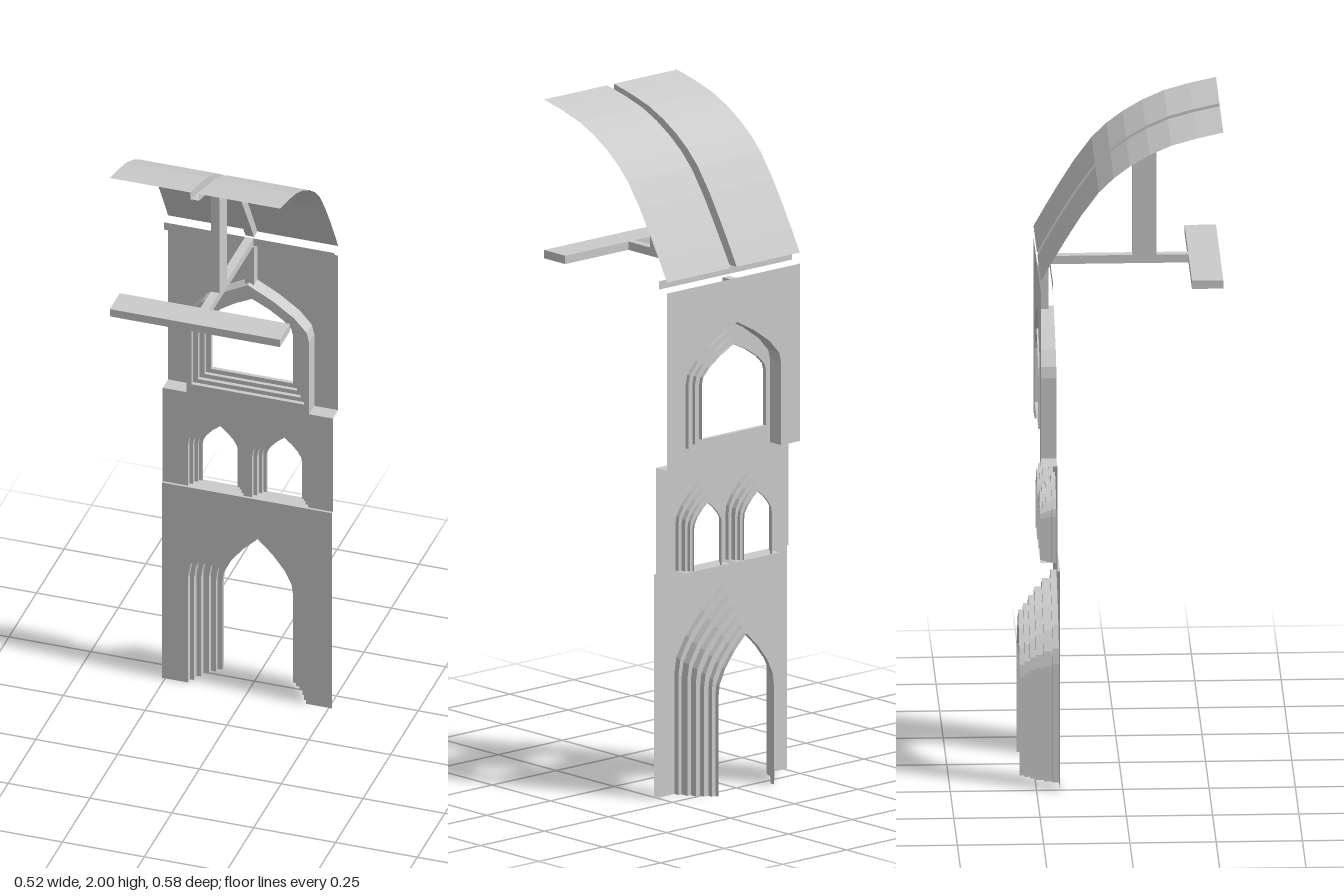
import * as THREE from 'three';

const mat = new THREE.MeshStandardMaterial({ color: 0xcccccc, flatShading: true, side: THREE.DoubleSide });

function add(parent, name, geometry, x = 0, y = 0, z = 0) {
  const mesh = new THREE.Mesh(geometry, mat);
  mesh.name = name;
  mesh.position.set(x, y, z);
  parent.add(mesh);
  return mesh;
}

// Box given by its limits
function box(parent, name, [x0, x1], [y0, y1], [z0, z1]) {
  return add(parent, name, new THREE.BoxGeometry(x1 - x0, y1 - y0, z1 - z0),
    (x0 + x1) / 2, (y0 + y1) / 2, (z0 + z1) / 2);
}

// Pointed arch outline from the left foot over the apex to the right foot
const RISE = [[1, 0], [0.96, 0.2], [0.76, 0.46], [0.42, 0.74]];
function arch(cx, w, base, spring, apex) {
  const side = (s) => [[cx + s * w, base], ...RISE.map(([u, v]) => [cx + s * w * u, spring + v * (apex - spring)])];
  return [...side(-1), [cx, apex], ...side(1).reverse()];
}

// Surface through a row of equally long 3D point rows
function loft(rows, closed = false) {
  const n = rows[0].length, index = [];
  for (let r = 0; r < rows.length - 1; r++) {
    for (let i = 0; i < (closed ? n : n - 1); i++) {
      const j = (i + 1) % n, a = r * n, b = a + n;
      index.push(a + i, a + j, b + j, a + i, b + j, b + i);
    }
  }
  const g = new THREE.BufferGeometry();
  g.setAttribute('position', new THREE.Float32BufferAttribute(rows.flat(2), 3));
  g.setIndex(index);
  const flat = g.toNonIndexed();
  flat.computeVertexNormals();
  return flat;
}

const atZ = (outline, z) => outline.map(([x, y]) => [x, y, z]);

// Recess of nested outlines; each one runs back to its own depth, then steps inward
function steppedRecess(parent, name, levels, zFront, closed) {
  const rows = [];
  let z = zFront;
  for (const { outline, depth } of levels) {
    rows.push(atZ(outline, z), atZ(outline, depth));
    z = depth;
  }
  add(parent, name, loft(rows, closed));
}

// Flat wall panel from an outline and optional hole
function panel(parent, name, outline, z, hole) {
  const vec = (pts) => pts.map(([x, y]) => new THREE.Vector2(x, y));
  const shape = new THREE.Shape(vec(outline));
  if (hole) shape.holes.push(new THREE.Path(vec(hole)));
  add(parent, name, new THREE.ShapeGeometry(shape), 0, 0, z);
}

// Horizontal ledge
function ledge(parent, name, x0, x1, y, z0, z1) {
  add(parent, name, loft([[[x0, y, z0], [x1, y, z0]], [[x0, y, z1], [x1, y, z1]]]));
}

export function createModel() {
  const model = new THREE.Group();
  model.name = 'vaultedBay';
  const W = 0.26, RIB = 0.013;
  const zGround = -0.182, zMid = -0.19, zUpper = -0.238;
  const yMid = 0.67, yUpper = 0.99, yTop = 1.52;

  // Ground floor with its deep stepped doorway
  const door = [
    [0.18, 0.36, 0.59, -0.2], [0.168, 0.35, 0.565, -0.225], [0.155, 0.34, 0.54, -0.247],
    [0.138, 0.33, 0.513, -0.264], [0.122, 0.315, 0.49, -0.279], [0.108, 0.3, 0.47, -0.293],
  ].map(([w, spring, apex, depth]) => ({ outline: arch(0, w, 0, spring, apex), depth }));
  panel(model, 'groundWall', [[-W, 0], ...door[0].outline, [W, 0], [W, yMid], [-W, yMid]], zGround);
  steppedRecess(model, 'doorwayMoulding', door, zGround, false);
  ledge(model, 'stringCourse', -W, W, yMid, zGround, zMid);

  // Pair of gallery openings
  const gallery = [-1, 1].map((s) => [
    [0.085, 0.81, 0.92, -0.203], [0.074, 0.805, 0.9, -0.219], [0.064, 0.8, 0.885, -0.229], [0.054, 0.795, 0.868, -0.236],
  ].map(([w, spring, apex, depth]) => ({ outline: arch(s * 0.098, w, yMid, spring, apex), depth })));
  for (const levels of gallery) {
    steppedRecess(model, 'galleryMoulding', levels, zMid, false);
    const o = levels[0].outline;
    ledge(model, 'gallerySill', o[0][0], o[o.length - 1][0], yMid, zMid, -0.236);
  }

  // Upper window, framed by a surround standing forward of the upper wall
  const surround = arch(0, 0.187, yUpper, 1.235, 1.395);
  const windowLevels = [
    [0.172, 1.02, 1.38, -0.203], [0.156, 1.033, 1.36, -0.216],
    [0.141, 1.046, 1.342, -0.228], [0.125, 1.06, 1.325, -0.24],
  ].map(([w, base, apex, depth]) => ({ outline: arch(0, w, base, 1.225, apex), depth }));
  panel(model, 'galleryWall', [
    [-W, yMid], ...gallery[0][0].outline, ...gallery[1][0].outline, [W, yMid], [W, yUpper],
    ...[...surround].reverse(), [-W, yUpper],
  ], zMid, windowLevels[0].outline);
  steppedRecess(model, 'windowMoulding', windowLevels, zMid, true);
  add(model, 'windowSurroundSide', loft([atZ(surround, zMid), atZ(surround, zUpper)]));
  panel(model, 'upperWall', [[-W, yUpper], ...surround, [W, yUpper], [W, yTop], [-W, yTop]], zUpper);
  for (const s of [-1, 1]) ledge(model, 'shoulderLedge', s * 0.187, s * W, yUpper, zMid, zUpper);
  box(model, 'wallRib', [-RIB, RIB], [1.385, yTop], [zUpper, -0.205]);

  // Beams at the foot of the vault
  box(model, 'frontBeam', [-W, W], [1.525, 1.55], [0.2, 0.291]);
  box(model, 'crossBeam', [-RIB, RIB], [1.525, 1.55], [-0.203, 0.2]);
  panel(model, 'wallPlate', [[-W, 1.525], [W, 1.525], [W, 1.55], [-W, 1.55]], -0.203);
  box(model, 'post', [-RIB, RIB], [1.55, 1.862], [0.038, 0.108]);

  // Curved roof in two halves, with a sunken channel rib between them
  const outer = [[0.291, 2], [0.14, 1.962], [0.02, 1.9], [-0.07, 1.822], [-0.167, 1.678], [-0.238, 1.553]];
  const inner = [[0.291, 1.977], [0.15, 1.938], [0.036, 1.878], [-0.049, 1.803], [-0.14, 1.666], [-0.207, 1.553]];
  // Smooth the few profile points
  const curve = (pts) => new THREE.CatmullRomCurve3(pts.map(([z, y]) => new THREE.Vector3(0, y, z)))
    .getPoints(10);
  const row = (pts, x) => curve(pts).map((p) => [x, p.y, p.z]);
  for (const s of [-1, 1]) {
    add(model, 'roofShell', loft([row(outer, s * RIB), row(outer, s * W)]));
  }
  add(model, 'roofRibChannel', loft([row(outer, -RIB), row(inner, -RIB), row(inner, RIB), row(outer, RIB)]));
  // Narrow top of the post, reaching the sloping rib
  const postTop = [[0.038, 1.862], [0.108, 1.862], [0.108, 1.918], [0.038, 1.88]];
  add(model, 'postTop', loft([-RIB, RIB].map((x) => postTop.map(([z, y]) => [x, y, z])), true));

  return model;
}
